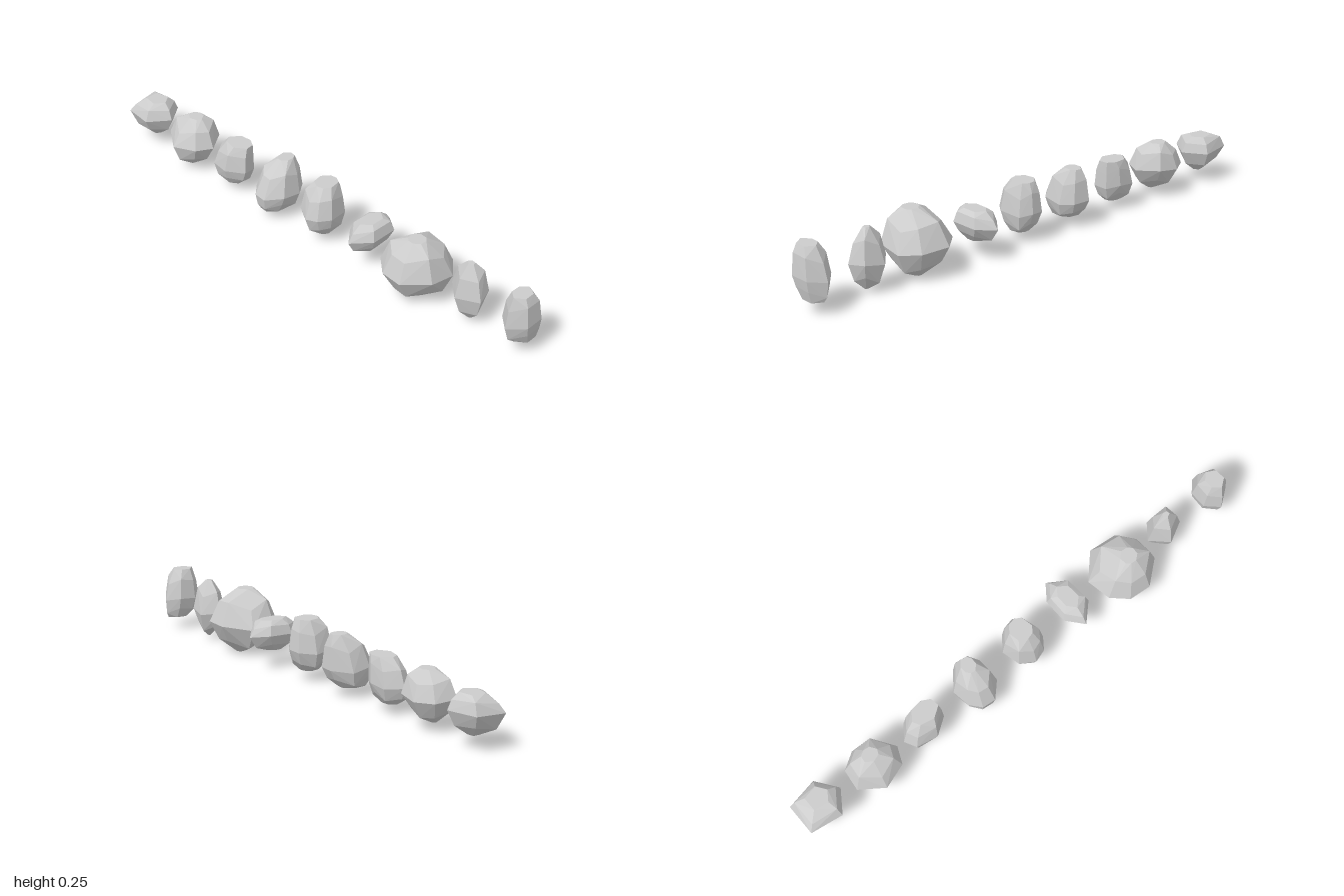
import * as THREE from 'three';
import { ConvexGeometry } from 'three/addons/geometries/ConvexGeometry.js';

// A faceted stone filling the given box: the hull of five polygon rings.
// The full-width belly narrows to a bottom and a top ring, each with a
// size (0..1) and a lean (-1..1) in x and z. "turn" spins the polygon.
function rockGeometry({ x, y, z, belly, bottom, top, sides, turn }) {
  // irregular outline, scaled to fill -1..1 both ways
  const corners = Array.from({ length: sides }, (_, i) => {
    const a = turn + (i / sides) * Math.PI * 2 + 0.15 * Math.sin(i * 5 + turn * 7);
    return new THREE.Vector2(Math.cos(a), Math.sin(a));
  });
  const box = new THREE.Box2().setFromPoints(corners);
  const middle = box.getCenter(new THREE.Vector2());
  const half = box.getSize(new THREE.Vector2()).multiplyScalar(0.5);
  corners.forEach((p) => p.sub(middle).divide(half));

  const points = [];
  const mix = THREE.MathUtils.lerp;
  const ring = (level, [size, leanX, leanZ], tilt) => corners.forEach((p, i) => {
    const u = p.x * size + leanX * (1 - size);
    const v = p.y * size + leanZ * (1 - size);
    const h = level + tilt * Math.sin(i * 2.4 + turn * 3);
    points.push(new THREE.Vector3(mix(x[0], x[1], (u + 1) / 2), mix(y[0], y[1], h), mix(z[0], z[1], (v + 1) / 2)));
  });
  const partWay = ([size, leanX, leanZ]) => [mix(1, size, 0.35), leanX, leanZ];

  ring(0, bottom, 0);
  ring(belly * 0.4, partWay(bottom), 0.07);
  ring(belly, [1, 0, 0], 0.03);
  ring(mix(belly, 1, 0.62), partWay(top), 0.07);
  ring(1, top, 0);
  return new ConvexGeometry(points);
}

export function createModel() {
  const group = new THREE.Group();
  group.name = 'rockRow';
  const stone = new THREE.MeshStandardMaterial({ color: 0xcccccc, flatShading: true });
  const addRock = (name, shape) => {
    const mesh = new THREE.Mesh(rockGeometry(shape), stone);
    mesh.name = name;
    group.add(mesh);
  };

  addRock('wedgeRock', {
    x: [-1, -0.82], y: [0.045, 0.19], z: [-0.1, 0.065], belly: 0.6,
    bottom: [0.2, 0, 0], top: [0.45, 0.1, -0.2], sides: 5, turn: 0,
  });
  addRock('roundRock', {
    x: [-0.78, -0.57], y: [0.02, 0.213], z: [-0.1, 0.085], belly: 0.5,
    bottom: [0.12, 0, 0.2], top: [0.3, 0, -0.2], sides: 7, turn: 0,
  });
  addRock('slantedRock', {
    x: [-0.54, -0.37], y: [0.035, 0.203], z: [-0.07, 0.055], belly: 0.4,
    bottom: [0.45, 0, 0.1], top: [0.65, 0.8, -0.5], sides: 7, turn: 3.14,
  });
  addRock('peakedRock', {
    x: [-0.285, -0.135], y: [0.037, 0.23], z: [-0.1, 0.085], belly: 0.35,
    bottom: [0.6, -0.2, 0.4], top: [0.35, 0.1, -0.6], sides: 8, turn: 0.4,
  });
  addRock('blockRock', {
    x: [-0.055, 0.095], y: [0.04, 0.235], z: [-0.09, 0.075], belly: 0.4,
    bottom: [0.45, 0.2, 0], top: [0.55, 0.1, -0.4], sides: 8, turn: 0.2,
  });
  addRock('longRock', {
    x: [0.19, 0.31], y: [0.065, 0.185], z: [-0.13, 0.09], belly: 0.55,
    bottom: [0.3, 0, 0.1], top: [0.5, 0, 0], sides: 6, turn: 0.5,
  });
  addRock('boulder', {
    x: [0.365, 0.615], y: [0, 0.246], z: [-0.12, 0.128], belly: 0.48,
    bottom: [0.12, 0.1, -0.1], top: [0.25, 0.15, 0.2], sides: 8, turn: 0.4,
  });
  addRock('pointedRock', {
    x: [0.64, 0.785], y: [0.015, 0.24], z: [-0.07, 0.05], belly: 0.45,
    bottom: [0.1, 0.2, 0], top: [0.2, 0.1, 0], sides: 5, turn: 3,
  });
  addRock('uprightRock', {
    x: [0.89, 1], y: [0.05, 0.243], z: [-0.085, 0.07], belly: 0.4,
    bottom: [0.6, 0.2, -0.5], top: [0.55, 0.2, 0.3], sides: 6, turn: 0.5,
  });
  return group;
}
